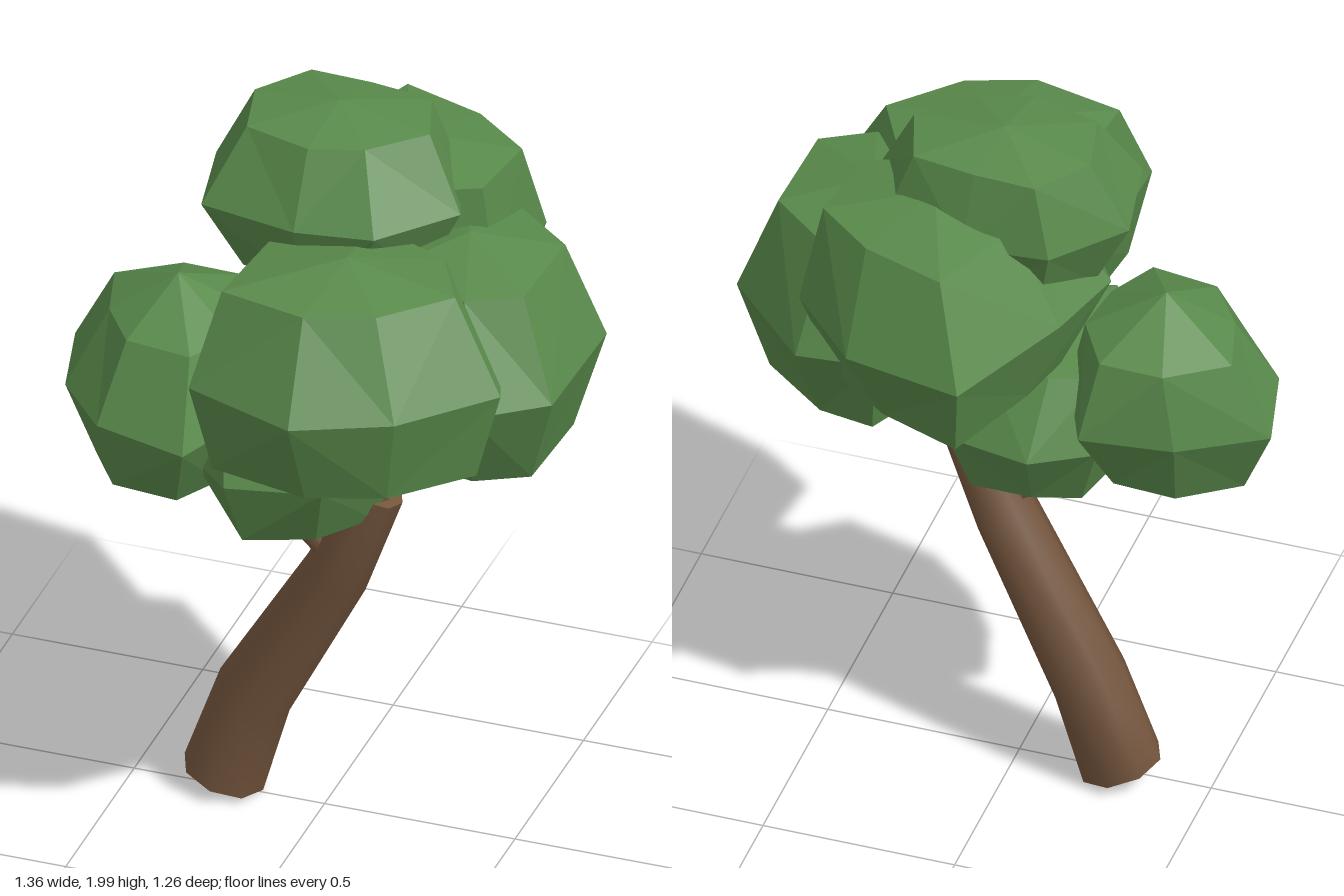
import * as THREE from 'three';

const leaf = new THREE.MeshStandardMaterial({ color: 0x598a4b, flatShading: true });
leaf.name = 'leaf green';
const bark = new THREE.MeshStandardMaterial({ color: 0x73543c });
bark.name = 'bark brown';

function makeGeometry(pos, idx) {
  const g = new THREE.BufferGeometry();
  g.setAttribute('position', new THREE.Float32BufferAttribute(pos, 3));
  g.setIndex(idx);
  g.computeVertexNormals();
  return g;
}

// Faceted leaf clump: its widest outline sits at height y, with a smaller ring and a pole
// above and below. The upper ring and pole are shifted sideways by lean.
function clump(name, { y, half, centre, lean, outline, low = 0.71, ringAt = 0.83 }) {
  const [cx, cz] = centre;
  const pts = outline.slice().sort((a, b) =>
    Math.atan2(a[1] - cz, a[0] - cx) - Math.atan2(b[1] - cz, b[0] - cx));
  const n = pts.length, pos = [], idx = [];
  const ring = (height, scale, wobble, shift) => pts.forEach(([x, z], j) => {
    const s = scale + wobble * Math.sin(j * 2.3);
    pos.push(cx + (x - cx) * s + lean[0] * shift, height, cz + (z - cz) * s + lean[1] * shift);
  });
  ring(y - half * ringAt, low, 0.06, 0);
  ring(y, 1, 0, 0);
  ring(y + half * ringAt, 0.71, 0.05, 1);
  pos.push(cx, y - half, cz, cx + lean[0], y + half, cz + lean[1]);
  for (let j = 0; j < n; j++) {
    const k = (j + 1) % n;
    for (let r = 0; r < 2; r++) {
      const a = r * n + j, b = r * n + k, c = a + n, d = b + n;
      if (j % 2) idx.push(a, c, b, b, c, d);
      else idx.push(a, c, d, a, d, b);
    }
    idx.push(3 * n, j, k, 2 * n + j, 3 * n + 1, 2 * n + k);
  }
  const mesh = new THREE.Mesh(makeGeometry(pos, idx), leaf);
  mesh.name = name;
  return mesh;
}

// Smooth tapering limb lofted through [x, y, z, radius] stations, with flat end caps
function limb(name, stations, sides = 8) {
  const p = stations.map(s => new THREE.Vector3(s[0], s[1], s[2]));
  const last = p.length - 1, pos = [], idx = [];
  p.forEach((c, i) => {
    const t = p[Math.min(i + 1, last)].clone().sub(p[Math.max(i - 1, 0)]).normalize();
    const u = new THREE.Vector3().crossVectors(t, new THREE.Vector3(0, 0, 1)).normalize();
    const v = new THREE.Vector3().crossVectors(t, u);
    for (let j = 0; j < sides; j++) {
      const a = (j / sides) * Math.PI * 2;
      const q = c.clone().addScaledVector(u, Math.cos(a) * stations[i][3])
        .addScaledVector(v, Math.sin(a) * stations[i][3]);
      pos.push(q.x, q.y, q.z);
    }
  });
  for (let i = 0; i < last; i++) for (let j = 0; j < sides; j++) {
    const k = (j + 1) % sides, a = i * sides + j, b = i * sides + k;
    idx.push(a, b, a + sides, b, b + sides, a + sides);
  }
  // caps use their own vertices so the rim stays sharp
  [0, last].forEach(i => {
    const base = pos.length / 3;
    pos.push(...pos.slice(i * sides * 3, (i + 1) * sides * 3));
    for (let j = 1; j < sides - 1; j++) {
      if (i) idx.push(base, base + j, base + j + 1);
      else idx.push(base, base + j + 1, base + j);
    }
  });
  const mesh = new THREE.Mesh(makeGeometry(pos, idx), bark);
  mesh.name = name;
  return mesh;
}

export function createModel() {
  const tree = new THREE.Group();
  tree.name = 'tree';

  // Leaning trunk and its branches
  tree.add(limb('trunk', [[-0.268, 0.042, -0.01, 0.108], [-0.19, 0.29, -0.02, 0.1],
    [0.045, 0.71, 0.035, 0.084], [0.155, 0.972, 0.04, 0.069]]));
  tree.add(limb('leftBranch', [[0.03, 0.77, 0.04, 0.036], [-0.2, 1, 0.06, 0.026]], 6));
  tree.add(limb('frontBranch', [[0.155, 0.94, 0.05, 0.036], [0.16, 1.25, 0.15, 0.02]], 6));
  tree.add(limb('backBranch', [[0.16, 0.94, 0.03, 0.036], [0.24, 1.25, -0.09, 0.02]], 6));

  // Leaf clumps
  tree.add(clump('topLeaves', {
    y: 1.77, half: 0.23, centre: [0.01, -0.05], lean: [0, -0.03],
    outline: [[-0.32, -0.1], [-0.27, 0.15], [-0.01, 0.2], [0.19, 0.17], [0.35, -0.02], [0.27, -0.24], [0.05, -0.3], [-0.17, -0.28]],
  }));
  tree.add(clump('frontLeaves', {
    y: 1.47, half: 0.29, centre: [0.18, 0.28], lean: [-0.03, -0.03], low: 0.8,
    outline: [[-0.17, 0.52], [0.13, 0.63], [0.37, 0.52], [0.57, 0.3], [0.48, 0.05], [0.15, -0.05], [-0.15, 0.15]],
  }));
  tree.add(clump('sideLeaves', {
    y: 1.41, half: 0.31, centre: [0.39, -0.03], lean: [-0.02, 0],
    outline: [[0.68, -0.17], [0.67, 0.2], [0.5, 0.33], [0.15, 0.22], [0.12, -0.15], [0.25, -0.38], [0.45, -0.4]],
  }));
  tree.add(clump('backLeaves', {
    y: 1.57, half: 0.29, centre: [0.1, -0.24], lean: [0.05, 0.03],
    outline: [[-0.05, -0.63], [0.26, -0.57], [0.45, -0.37], [0.42, -0.08], [0.13, 0.08], [-0.15, 0.1], [-0.26, -0.06], [-0.2, -0.28]],
  }));
  tree.add(clump('leftLeaves', {
    y: 1.19, half: 0.3, centre: [-0.39, 0.08], lean: [0.02, -0.04], ringAt: 0.66,
    outline: [[-0.68, -0.07], [-0.47, -0.2], [-0.23, -0.23], [-0.13, 0], [-0.15, 0.2], [-0.23, 0.4], [-0.48, 0.33], [-0.62, 0.17]],
  }));
  tree.add(clump('lowLeaves', {
    y: 1.09, half: 0.22, centre: [-0.03, 0.06], lean: [-0.04, 0.02],
    outline: [[-0.3, 0], [-0.26, 0.24], [-0.14, 0.35], [0.1, 0.3], [0.23, 0.08], [0.12, -0.2], [-0.1, -0.24], [-0.25, -0.15]],
  }));
  return tree;
}
